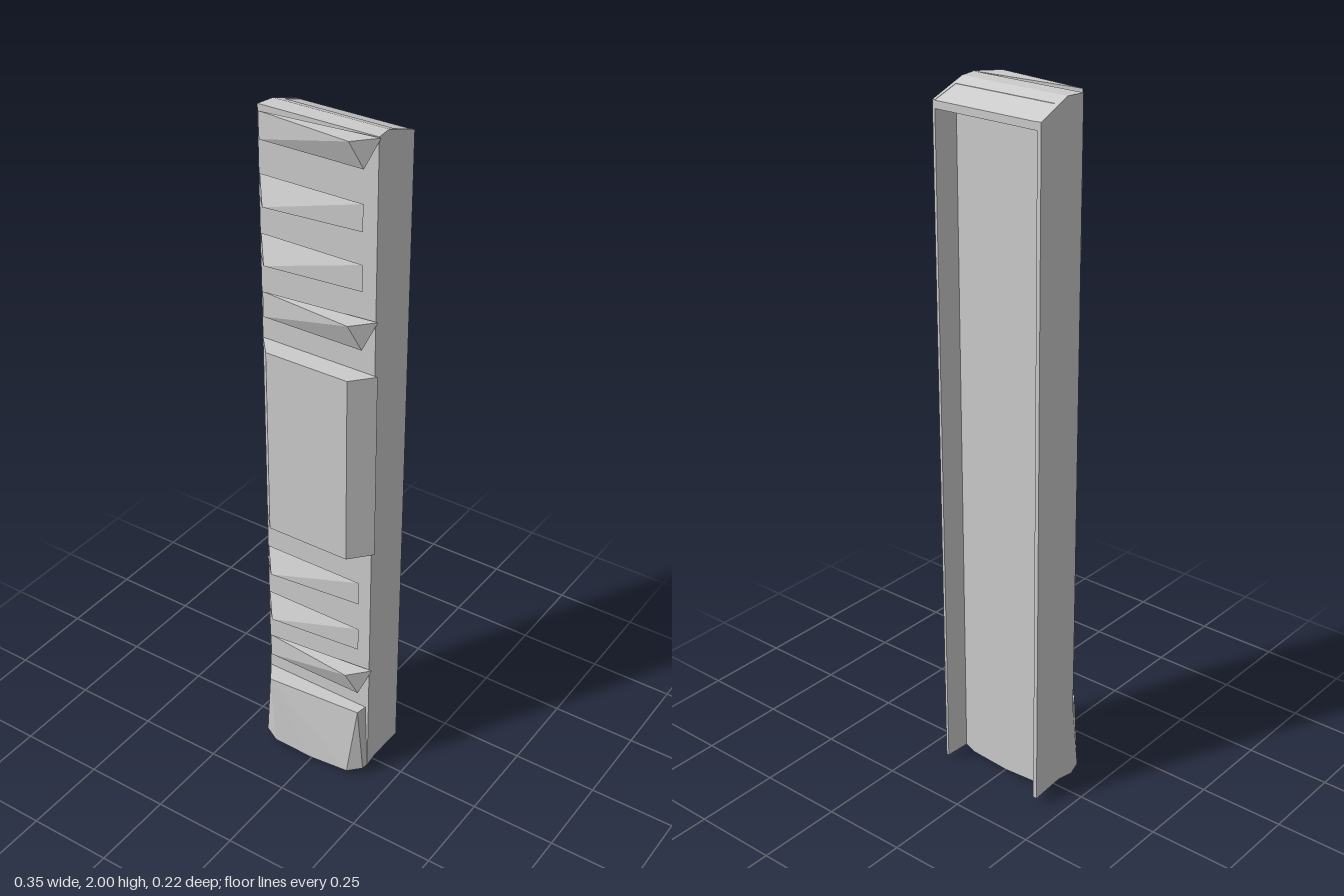
import * as THREE from 'three';
import { ConvexGeometry } from 'three/addons/geometries/ConvexGeometry.js';

const material = new THREE.MeshStandardMaterial({ color: 0xcccccc, flatShading: true, side: THREE.DoubleSide });

// Solid spanning a few corner points
function hull(name, points) {
  const mesh = new THREE.Mesh(new ConvexGeometry(points.map((p) => new THREE.Vector3(...p))), material);
  mesh.name = name;
  return mesh;
}

// The top end slopes down towards the open back
const topAt = (z) => 2 - 0.04 * Math.max(0, -z) / 0.11;
// The bottom end bows down in the middle of the plate
const bottomAt = (x) => (Math.abs(x) > 0.15 ? 0.022 : Math.abs(x) > 0.05 ? 0.008 : 0);

// Channel body: thick front plate with two thin side walls, open at the back
function body() {
  const profile = [
    [-0.177, 0.05], [-0.13, 0.05], [0, 0.05], [0.12, 0.05], [0.17, 0.05],
    [0.165, 0], [0.167, -0.11], [0.159, -0.11], [0.155, -0.035],
    [0.12, -0.035], [0, -0.035], [-0.13, -0.035], [-0.158, -0.035],
    [-0.163, -0.11], [-0.175, -0.11], [-0.167, 0],
  ];
  const shape = new THREE.Shape(profile.map(([x, z]) => new THREE.Vector2(x, -z)));
  const geometry = new THREE.ExtrudeGeometry(shape, { depth: 2, bevelEnabled: false });
  geometry.rotateX(-Math.PI / 2);
  const pos = geometry.attributes.position;
  for (let i = 0; i < pos.count; i++) {
    const x = pos.getX(i), z = pos.getZ(i);
    if (pos.getY(i) > 1) {
      pos.setY(i, topAt(z));
    } else {
      pos.setY(i, bottomAt(x));
      if (x > 0.15) pos.setX(i, x - 0.005); // slight taper of the left side
    }
  }
  geometry.computeVertexNormals();
  const mesh = new THREE.Mesh(geometry, material);
  mesh.name = 'channelBody';
  return mesh;
}

// Wedge rib: a triangle at one end, an upright edge at the other
function rib(y, side) {
  const h = 0.0365 * side;
  return hull('rib', [
    [0.177 * side, y + h, 0.052], [0.125 * side, y + h, 0.11], [0.15 * side, y - h, 0.083],
    [-0.15 * side, y + h, 0.083], [-0.15 * side, y - h, 0.083],
  ]);
}

export function createModel() {
  const group = new THREE.Group();
  group.name = 'railCover';
  group.add(body());

  // Sloping end wall closing the top of the channel
  const end = [];
  for (const x of [-0.165, 0.16]) {
    for (const z of [-0.03, -0.11]) {
      end.push([x, topAt(z) - 0.001, z], [x, topAt(z) - 0.022, z]);
    }
  }
  group.add(hull('topEndWall', end));

  // Ribs pointing down and up
  for (const y of [1.963, 1.478, 0.355]) group.add(rib(y, 1));
  for (const y of [1.802, 1.642, 0.676, 0.515]) group.add(rib(y, -1));

  // Raised grip pad with bevelled sides
  const pad = [];
  for (const y of [0.8, 1.357]) {
    for (const s of [-1, 1]) pad.push([0.177 * s, y, 0.05], [0.125 * s, y, 0.11]);
  }
  group.add(hull('gripPad', pad));

  // Lower block with a bowed bottom edge
  group.add(hull('lowerBlock', [
    [-0.177, 0.243, 0.05], [-0.14, 0.243, 0.105], [0.15, 0.243, 0.083], [0.155, 0.243, 0.05],
    [-0.177, 0.025, 0.05], [-0.165, 0.025, 0.09], [-0.125, 0.012, 0.105], [-0.13, 0.01, 0.05],
    [0, 0.008, 0.105], [0, 0.003, 0.05],
    [0.125, 0.016, 0.1], [0.162, 0.022, 0.07], [0.164, 0.022, 0.05],
  ]));
  return group;
}
